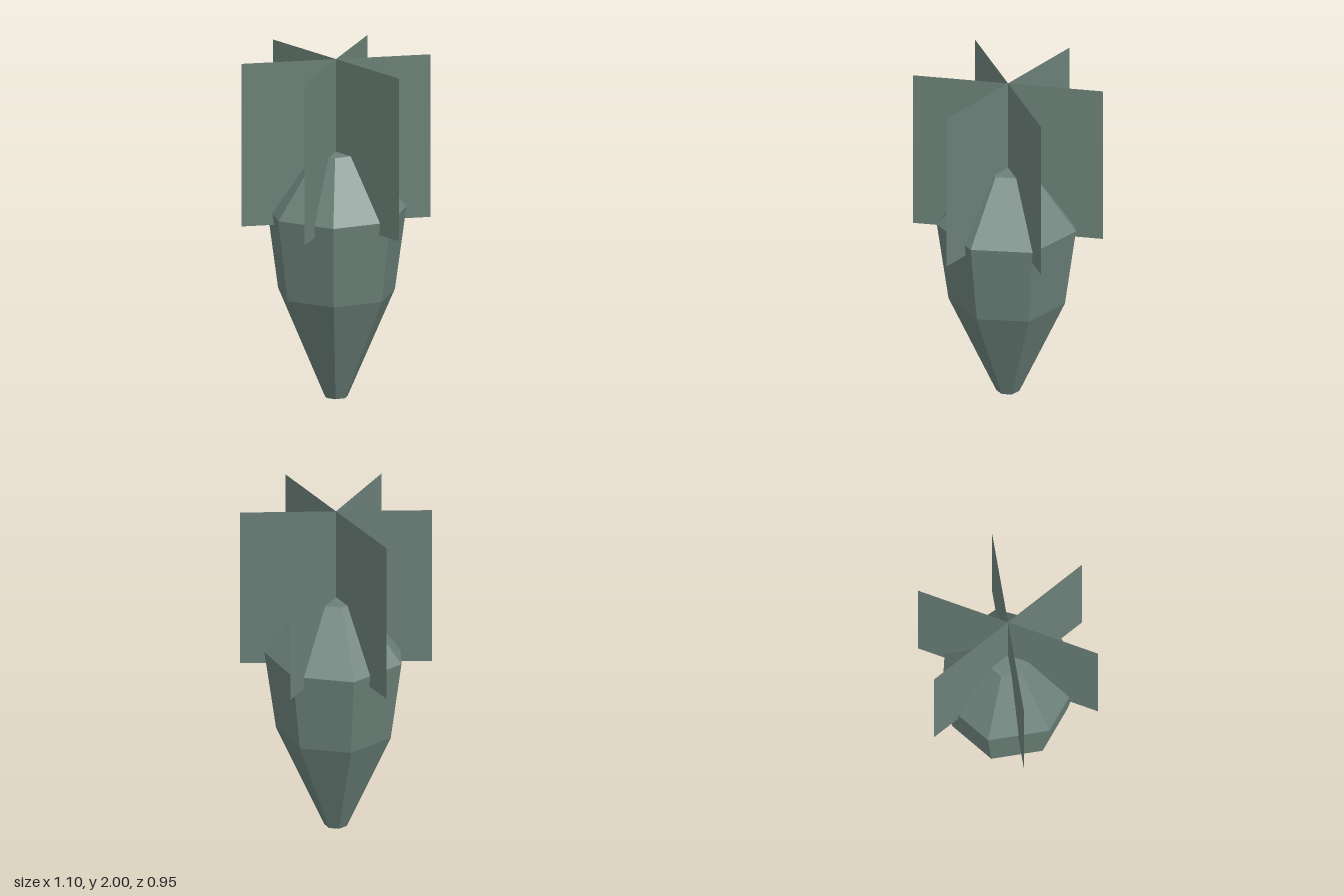
import * as THREE from 'three';

export function createModel() {
  const model = new THREE.Group();
  const paint = new THREE.MeshStandardMaterial({
    color: 0x6b8078, flatShading: true, side: THREE.DoubleSide,
  });
  paint.name = 'grey green paint';

  // Seven-sided body, nose down, with flat caps at both ends
  const profile = [
    [0, 0], [0.068, 0], [0.343, 0.62], [0.41, 1.105], [0.137, 1.45], [0, 1.45],
  ].map(([r, y]) => new THREE.Vector2(r, y));
  const body = new THREE.Mesh(new THREE.LatheGeometry(profile, 7, Math.PI / 2), paint);
  body.name = 'body';
  model.add(body);

  // Three crossed sheets form the six tail fins
  const tailFins = new THREE.Group();
  tailFins.name = 'tailFins';
  const bottom = 1.035, top = 2, span = 1.1;
  const sheet = new THREE.PlaneGeometry(span, top - bottom);
  for (let i = 0; i < 3; i++) {
    const fin = new THREE.Mesh(sheet, paint);
    fin.name = `finPair${i + 1}`;
    fin.position.y = (top + bottom) / 2;
    fin.rotation.y = (i * Math.PI) / 3;
    tailFins.add(fin);
  }
  model.add(tailFins);

  return model;
}
